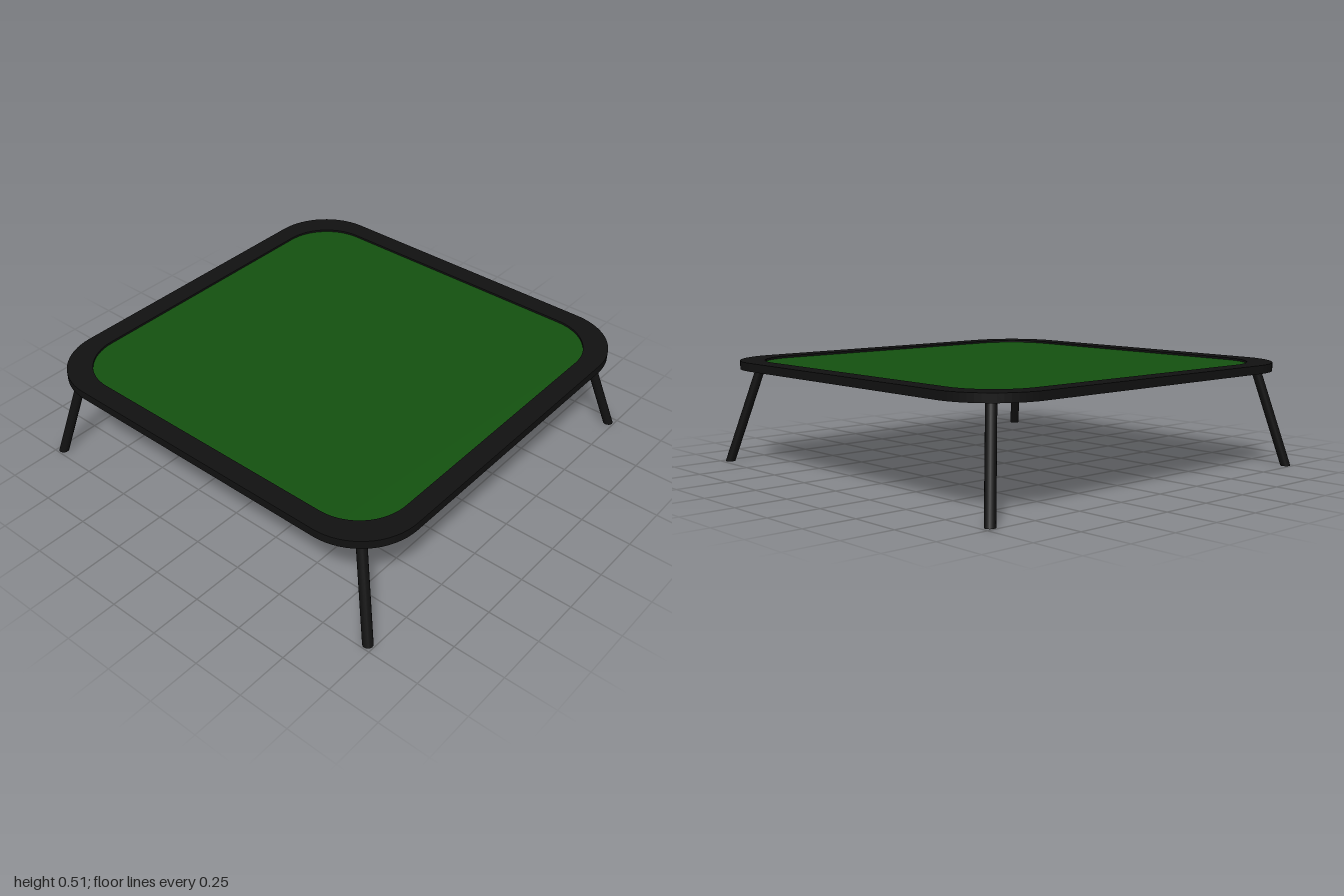
import * as THREE from 'three';

const black = new THREE.MeshStandardMaterial({ color: 0x111111 });
const green = new THREE.MeshStandardMaterial({ color: 0x145210 });

// Rounded square outline with half-width h and corner radius r
function roundedSquare(h, r, Type = THREE.Shape) {
  const s = new Type();
  const c = h - r;
  s.absarc(c, c, r, 0, Math.PI / 2);
  s.absarc(-c, c, r, Math.PI / 2, Math.PI);
  s.absarc(-c, -c, r, Math.PI, Math.PI * 1.5);
  s.absarc(c, -c, r, Math.PI * 1.5, Math.PI * 2);
  s.closePath();
  return s;
}

// Horizontal slab from y0 to y1
function slab(name, shape, y0, y1, material) {
  const geo = new THREE.ExtrudeGeometry(shape, { depth: y1 - y0, bevelEnabled: false, curveSegments: 8 });
  geo.rotateX(-Math.PI / 2).translate(0, y0, 0);
  const mesh = new THREE.Mesh(geo, material);
  mesh.name = name;
  return mesh;
}

// Splayed leg: an upright cylinder sheared outward so its foot stays flat
function leg(name, foot, top) {
  const height = 0.48;
  const geo = new THREE.CylinderGeometry(0.024, 0.024, height, 16).translate(0, height / 2, 0);
  const shear = new THREE.Matrix4().set(
    1, (top[0] - foot[0]) / height, 0, foot[0],
    0, 1, 0, 0,
    0, (top[1] - foot[1]) / height, 1, foot[1],
    0, 0, 0, 1);
  geo.applyMatrix4(shear);
  const mesh = new THREE.Mesh(geo, black);
  mesh.name = name;
  return mesh;
}

export function createModel() {
  const table = new THREE.Group();
  table.name = 'table';

  // Raised rim around the playing surface
  const rim = roundedSquare(1, 0.3);
  rim.holes.push(roundedSquare(0.9, 0.25, THREE.Path));
  table.add(slab('rim', rim, 0.47, 0.51, black));

  // Base panel and the felt set slightly below the rim
  table.add(slab('basePanel', roundedSquare(0.9, 0.25), 0.47, 0.485, black));
  table.add(slab('feltSurface', roundedSquare(0.9, 0.25), 0.485, 0.5, green));

  // Legs: name, foot (x, z), top (x, z)
  const legs = [
    ['frontLeftLeg', [0.96, 0.97], [0.85, 0.835]],
    ['frontRightLeg', [-0.97, 0.97], [-0.86, 0.835]],
    ['backLeftLeg', [0.96, -0.97], [0.85, -0.855]],
    ['backRightLeg', [-0.97, -0.97], [-0.86, -0.855]],
  ];
  for (const [name, foot, top] of legs) table.add(leg(name, foot, top));

  return table;
}
